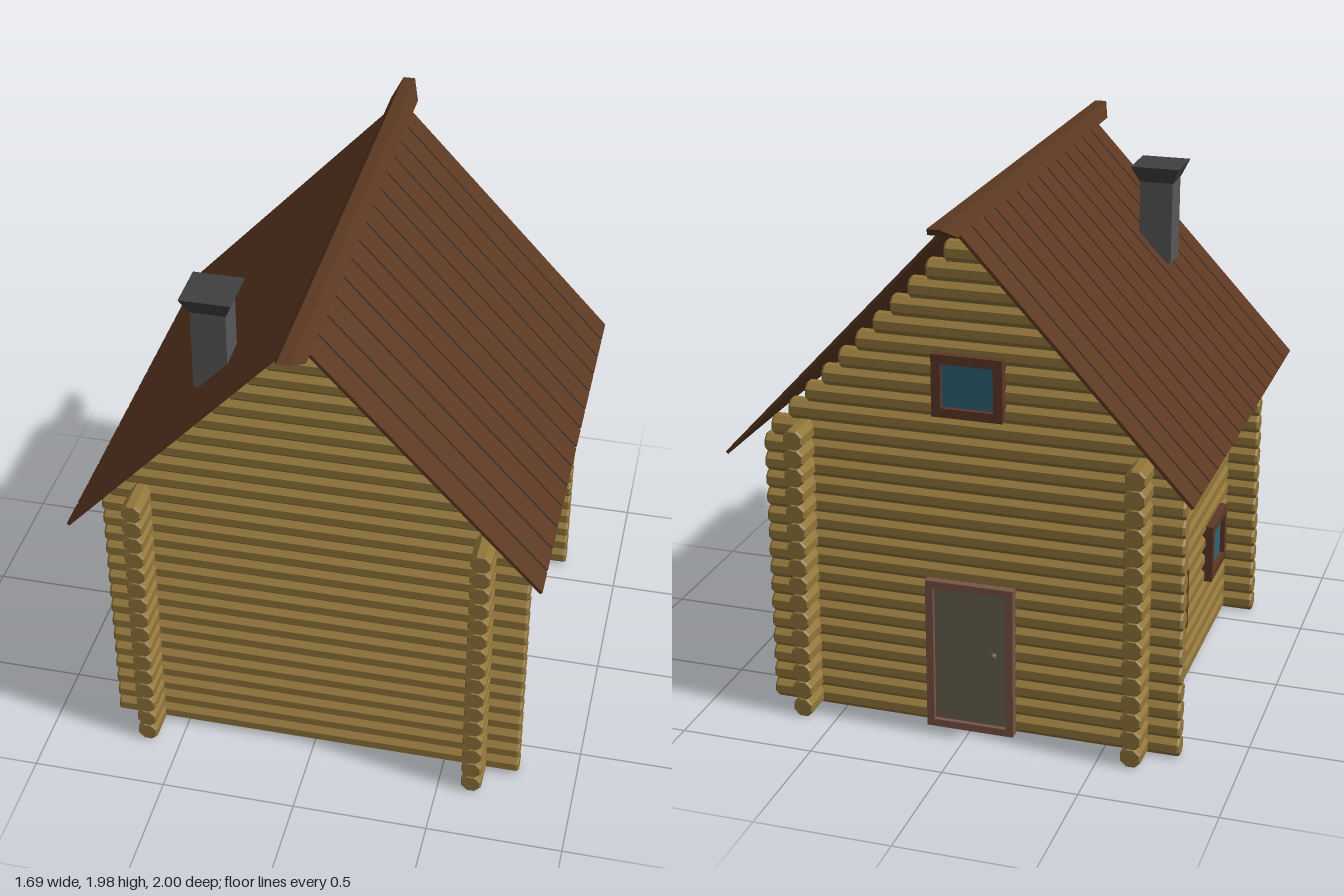
import * as THREE from 'three';

const mat = (color) => new THREE.MeshStandardMaterial({ color, flatShading: true });
const LOG = mat(0x91763a), ROOF = mat(0x5c3821), SEAM = mat(0x36322f), FRAME = mat(0x5e3826);
const DOOR = mat(0x6a6350), DOOR_FRAME = mat(0x7a5446), GLASS = mat(0x2f6478);
const BRICK = mat(0x585858), CAP = mat(0x404040);

const PITCH = 0.0707, APOTHEM = 0.0375, WALL = 0.625;
const rowY = (k) => APOTHEM + 0.002 + k * PITCH;

function add(parent, name, geometry, material, x = 0, y = 0, z = 0) {
  const mesh = new THREE.Mesh(geometry, material);
  mesh.name = name;
  mesh.position.set(x, y, z);
  parent.add(mesh);
  return mesh;
}

// Eight-sided log with chamfered ends, lying along x or z
function logGeometry(length, axis) {
  const r = APOTHEM / Math.cos(Math.PI / 8), h = length / 2;
  const profile = [[0, -h], [r * 0.85, -h], [r, -h + 0.008], [r, h - 0.008], [r * 0.85, h], [0, h]];
  const g = new THREE.LatheGeometry(profile.map((p) => new THREE.Vector2(...p)), 8);
  g.rotateY(Math.PI / 8);
  return axis === 'x' ? g.rotateZ(Math.PI / 2) : g.rotateX(Math.PI / 2);
}

// Box whose top face is resized, for the ridge cap and chimney cap
function flaredBox(w, h, d, topW, topD) {
  const g = new THREE.BoxGeometry(w, h, d);
  const p = g.attributes.position;
  for (let i = 0; i < p.count; i++) {
    if (p.getY(i) > 0) {
      p.setX(i, Math.sign(p.getX(i)) * topW / 2);
      p.setZ(i, Math.sign(p.getZ(i)) * topD / 2);
    }
  }
  g.computeVertexNormals();
  return g;
}

// Framed panel facing local +z, centred on x, standing on y = 0
function framedPanel(name, w, h, border, frameMat, panelMat) {
  const group = new THREE.Group();
  group.name = name;
  const rect = (Type, x, y) => {
    const s = new Type();
    s.moveTo(-x, y).lineTo(x, y).lineTo(x, h - y).lineTo(-x, h - y).closePath();
    return s;
  };
  const shape = rect(THREE.Shape, w / 2, 0);
  shape.holes.push(rect(THREE.Path, w / 2 - border, border));
  add(group, name + 'Frame', new THREE.ExtrudeGeometry(shape, { depth: 0.05, bevelEnabled: false }), frameMat);
  add(group, name + 'Panel', new THREE.BoxGeometry(w - border, h - border, 0.03), panelMat, 0, h / 2, 0.017);
  return group;
}

export function createModel() {
  const model = new THREE.Group();
  model.name = 'logCabin';

  // Walls of crossing logs
  const walls = new THREE.Group();
  walls.name = 'walls';
  model.add(walls);
  const longX = logGeometry(1.56, 'x'), longZ = logGeometry(1.555, 'z');
  const eaveX = logGeometry(1.5, 'x'), plateZ = logGeometry(1.25, 'z');
  for (const s of [-1, 1]) {
    for (let k = 0; k < 16; k++) {
      add(walls, 'endWallLog', k < 15 ? longX : eaveX, LOG, 0.004, rowY(k), s * WALL);
      add(walls, 'sideWallLog', longZ, LOG, s * WALL, rowY(k), 0.005);
    }
    add(walls, 'wallPlate', plateZ, LOG, s * WALL, rowY(16), 0);
    // Stepped gable
    for (let k = 16; k < 26; k++) {
      const half = 0.685 - (k - 16) * 0.0662;
      add(walls, 'gableLog', logGeometry(half * 2, 'x'), LOG, 0, rowY(k), s * WALL);
    }
  }

  // Roof slopes: boards over a thin dark sheet that shows in the seams
  const run = 0.843, drop = 0.905, peak = 1.963, boards = 14, zMin = -0.852, zMax = 0.837;
  const length = Math.hypot(run, drop), pitch = (zMax - zMin) / boards;
  const board = new THREE.BoxGeometry(length, 0.012, pitch - 0.012);
  for (const s of [-1, 1]) {
    const slope = new THREE.Group();
    slope.name = s > 0 ? 'leftRoofSlope' : 'rightRoofSlope';
    slope.position.set(s * run / 2, peak - drop / 2, 0);
    slope.rotation.z = -s * Math.atan2(drop, run);
    for (let i = 0; i < boards; i++) add(slope, 'roofBoard', board, ROOF, 0, 0, zMin + (i + 0.5) * pitch);
    add(slope, 'roofSheet', new THREE.BoxGeometry(length - 0.004, 0.006, zMax - zMin - 0.02), SEAM, 0, 0, (zMin + zMax) / 2);
    model.add(slope);
  }
  add(model, 'ridgeCap', flaredBox(0.106, 0.047, 1.82, 0.045, 2), ROOF, 0, 1.9625, 0);

  // Chimney
  const chimney = new THREE.Group();
  chimney.name = 'chimney';
  chimney.position.set(-0.384, 0, 0.472);
  add(chimney, 'chimneyStack', new THREE.BoxGeometry(0.126, 0.32, 0.126), BRICK, 0, 1.67, 0);
  add(chimney, 'chimneyCap', flaredBox(0.13, 0.062, 0.13, 0.186, 0.186), CAP, 0, 1.853, 0);
  model.add(chimney);

  // Door and gable window on the back
  const door = framedPanel('door', 0.33, 0.585, 0.028, DOOR_FRAME, DOOR);
  door.position.set(0, 0.003, -0.642);
  door.rotation.y = Math.PI;
  add(door, 'doorKnob', new THREE.SphereGeometry(0.012, 10, 8), DOOR, 0.09, 0.315, 0.042);
  model.add(door);

  const gableWindow = framedPanel('gableWindow', 0.26, 0.23, 0.034, FRAME, GLASS);
  gableWindow.position.set(0, 1.22, -0.642);
  gableWindow.rotation.y = Math.PI;
  model.add(gableWindow);

  // Pair of windows on the right side
  for (const z of [-0.325, 0.325]) {
    const win = framedPanel('sideWindow', 0.25, 0.23, 0.034, FRAME, GLASS);
    win.position.set(-0.642, 0.3, z);
    win.rotation.y = -Math.PI / 2;
    model.add(win);
  }
  return model;
}
